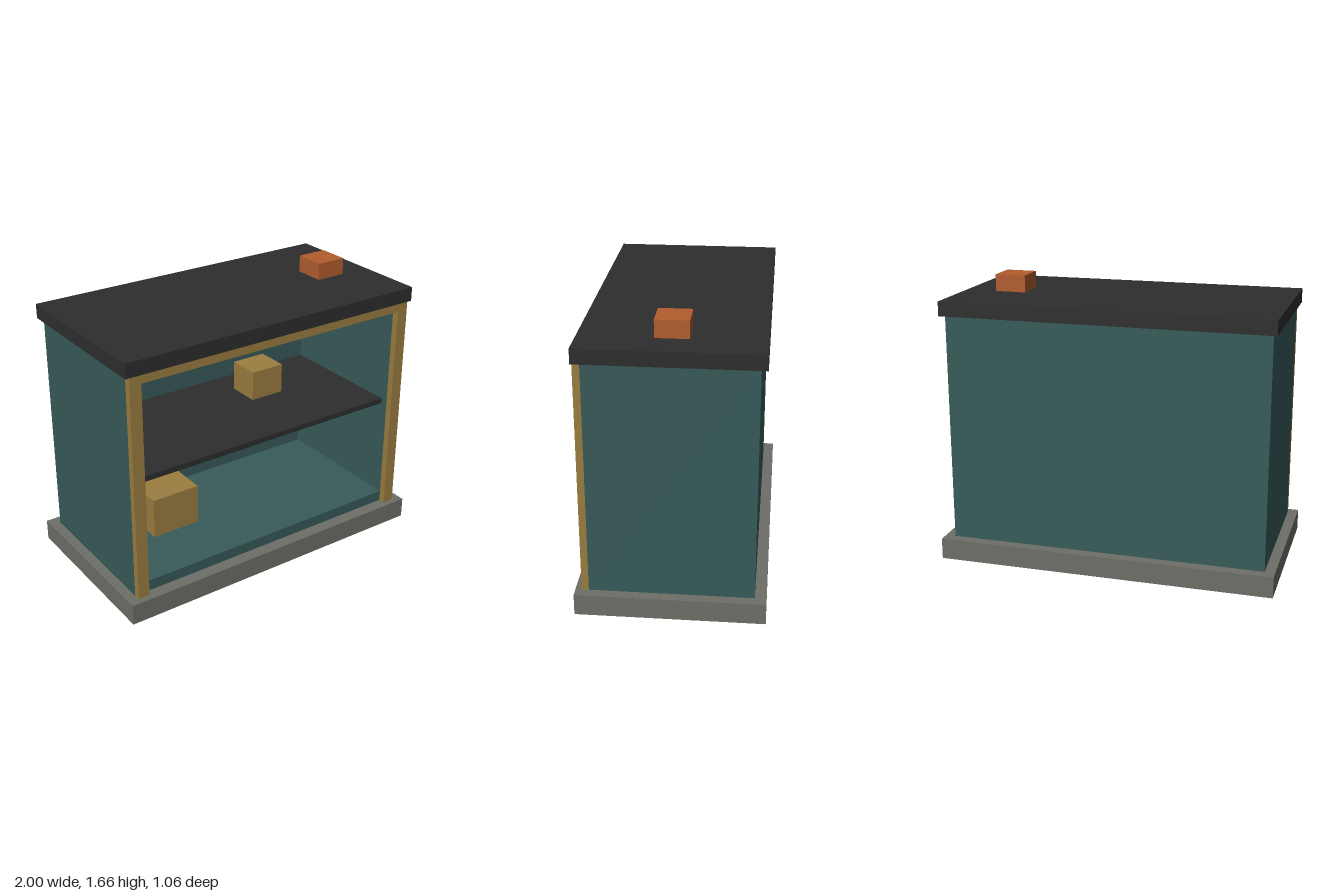
import * as THREE from 'three';

const paint = (name, color) => {
  const m = new THREE.MeshStandardMaterial({ color });
  m.name = name;
  return m;
};

export function createModel() {
  const stone = paint('stone grey', 0x6f6f68);
  const charcoal = paint('charcoal', 0x2e2e2e);
  const teal = paint('dark teal', 0x375b59);
  const ochre = paint('ochre', 0x9b7e40);
  const rust = paint('rust orange', 0xb25d2e);

  const model = new THREE.Group();
  model.name = 'openCabinet';

  // Box given by its extents on each axis
  const box = (name, material, [x0, x1], [y0, y1], [z0, z1]) => {
    const mesh = new THREE.Mesh(new THREE.BoxGeometry(x1 - x0, y1 - y0, z1 - z0), material);
    mesh.position.set((x0 + x1) / 2, (y0 + y1) / 2, (z0 + z1) / 2);
    mesh.name = name;
    model.add(mesh);
  };

  const outer = 0.94, inner = 0.87;
  const bottom = 0.125, top = 1.48;
  const back = -0.465, backInner = -0.4, front = 0.455, frameFront = 0.495;

  // Plinth and roof slab
  box('plinth', stone, [-1, 1], [0, bottom], [-0.53, 0.53]);
  box('roof', charcoal, [-0.965, 0.965], [top, 1.565], [-0.5, 0.5]);
  box('chimney', rust, [0.593, 0.777], [1.565, 1.665], [-0.093, 0.093]);

  // Carcass: back, floor and ceiling between the side walls
  box('backWall', teal, [-inner, inner], [bottom, top], [back, backInner]);
  box('floor', teal, [-inner, inner], [bottom, 0.19], [backInner, front]);
  box('ceiling', teal, [-inner, inner], [1.43, top], [backInner, front]);

  // Side walls and front posts, mirrored
  for (const [side, s] of [['left', 1], ['right', -1]]) {
    const span = s > 0 ? [inner, outer] : [-outer, -inner];
    box(side + 'Wall', teal, span, [bottom, top], [back, front]);
    box(side + 'Post', ochre, span, [bottom, top], [front, frameFront]);
  }
  box('frameHeader', ochre, [-inner, inner], [1.43, top], [front, frameFront]);

  // Shelf and the crates inside
  box('shelf', charcoal, [-inner, inner], [0.8, 0.833], [backInner, 0.41]);
  box('largeCrate', ochre, [-0.593, -0.283], [0.19, 0.44], [-0.2, 0.095]);
  box('smallCrate', ochre, [0.2, 0.42], [0.833, 1.017], [-0.22, -0.02]);

  return model;
}
